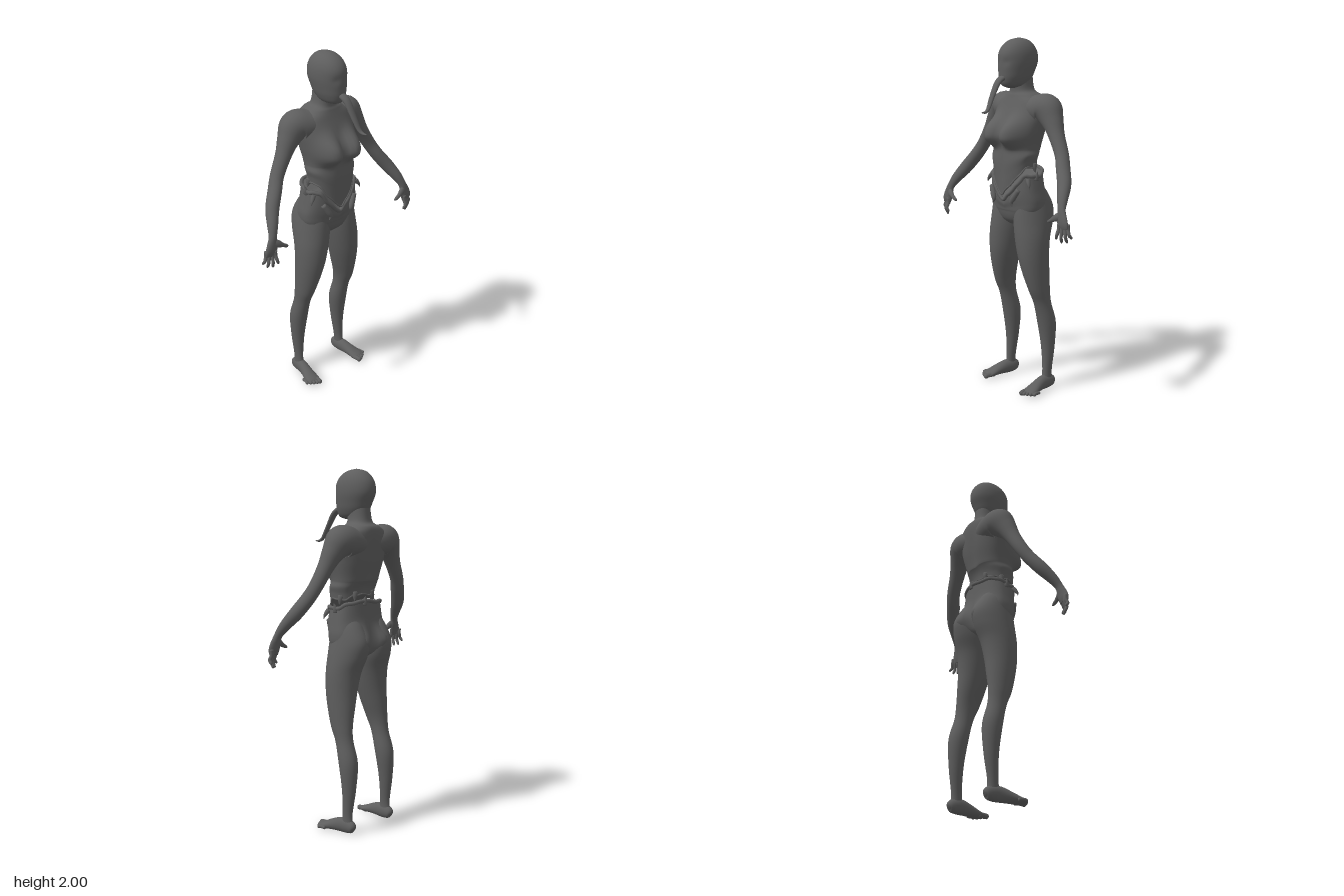
import * as THREE from 'three';

const material = new THREE.MeshStandardMaterial({ color: 0x5e5e5e, side: THREE.DoubleSide });
const SIDES = 48;

// Smoothly interpolate the columns of a short table of cross-sections
function refine(rows, steps) {
  const out = [];
  const last = rows.length - 1;
  for (let i = 0; i <= last * steps; i++) {
    const k = Math.min(Math.floor(i / steps), last - 1), t = i / steps - k;
    const [a, b, c, d] = [Math.max(k - 1, 0), k, k + 1, Math.min(k + 2, last)].map(n => rows[n]);
    out.push(b.map((_, n) => b[n] + 0.5 * t * (c[n] - a[n]
      + t * (2 * a[n] - 5 * b[n] + 4 * c[n] - d[n] + t * (3 * (b[n] - c[n]) + d[n] - a[n])))));
  }
  return out;
}

// Level rings from rows [y, x0, x1, z0, z1], lowest first; power squares the oval
function levelRings(rows, steps, power = 2, warp = null) {
  const bend = v => Math.sign(v) * Math.abs(v) ** (2 / power);
  return refine(rows, steps).map(([y, x0, x1, z0, z1]) => Array.from({ length: SIDES }, (_, j) => {
    const a = j / SIDES * Math.PI * 2;
    const p = new THREE.Vector3((x0 + x1) / 2 + bend(Math.sin(a)) * (x1 - x0) / 2, y,
      (z0 + z1) / 2 + bend(Math.cos(a)) * (z1 - z0) / 2);
    if (warp) warp(p, a);
    return p;
  }));
}

// Rings across a path of rows [x, y, z, radius along ref, radius across ref]
function pathRings(rows, steps, ref, sides = 20) {
  const fine = refine(rows, steps), pts = fine.map(r => new THREE.Vector3(r[0], r[1], r[2]));
  return fine.map((r, i) => {
    const t = pts[Math.min(i + 1, pts.length - 1)].clone().sub(pts[Math.max(i - 1, 0)]).normalize();
    const u = ref.clone().addScaledVector(t, -ref.dot(t)).normalize();
    const v = t.clone().cross(u);
    return Array.from({ length: sides }, (_, j) => {
      const a = j / sides * Math.PI * 2;
      return pts[i].clone().addScaledVector(u, r[3] * Math.cos(a)).addScaledVector(v, r[4] * Math.sin(a));
    });
  });
}

// Skin a stack of rings and close both ends
function skin(name, rings) {
  const n = rings[0].length, m = rings.length, index = [];
  const middle = ring => ring.reduce((s, p) => s.add(p), new THREE.Vector3()).divideScalar(n);
  const points = [...rings.flat(), middle(rings[0]), middle(rings[m - 1])];
  for (let j = 0; j < n; j++) {
    const k = (j + 1) % n;
    for (let i = 0; i < m - 1; i++) {
      const a = i * n + j, b = i * n + k;
      index.push(a, b, b + n, a, b + n, a + n);
    }
    index.push(m * n, k, j, m * n + 1, (m - 1) * n + j, (m - 1) * n + k);
  }
  const geometry = new THREE.BufferGeometry().setFromPoints(points);
  geometry.setIndex(index);
  geometry.computeVertexNormals();
  const mesh = new THREE.Mesh(geometry, material);
  mesh.name = name;
  return mesh;
}

const mirror = rings => rings.map(ring => ring.map(p => new THREE.Vector3(-p.x, p.y, p.z)).reverse());
const bump = (d, w) => Math.exp(-d * d / (w * w));

// Ragged waist edge: dips to a V at the front, nearly level at the back
const tear = (a, front, side, back) => {
  const s = Math.abs(Math.sin(a));
  const base = Math.cos(a) > 0 ? front + (side - front) * s : back + (side - back) * s;
  return base + 0.006 * Math.sin(5 * a + 1) + 0.003 * Math.sin(11 * a);
};

export function createModel() {
  const model = new THREE.Group();
  model.name = 'figure';
  const X = new THREE.Vector3(1, 0, 0), Y = new THREE.Vector3(0, 1, 0), Z = new THREE.Vector3(0, 0, 1);
  const add = (name, rings) => model.add(skin(name, rings));
  const pair = (name, rings) => {
    add('left' + name, rings);
    add('right' + name, mirror(rings));
  };

  // Head with a nearly blank face
  add('head', levelRings([
    [1.73, -0.015, 0.015, -0.05, 0.015], [1.745, -0.05, 0.05, -0.1, 0.05], [1.78, -0.069, 0.069, -0.135, 0.064],
    [1.82, -0.079, 0.079, -0.155, 0.067], [1.87, -0.087, 0.087, -0.175, 0.068], [1.92, -0.084, 0.084, -0.172, 0.063],
    [1.96, -0.069, 0.069, -0.15, 0.038], [1.988, -0.042, 0.042, -0.115, -0.004], [2.0, -0.003, 0.003, -0.063, -0.057],
  ], 6, 2.1, p => {
    if (p.z > 0) p.z -= 0.005 * bump(Math.abs(p.x) - 0.034, 0.02) * bump(p.y - 1.87, 0.02);
  }));

  // Long tongue
  add('tongue', pathRings([
    [0, 1.785, 0.03, 0.02, 0.014], [0.003, 1.782, 0.065, 0.023, 0.015], [0.007, 1.755, 0.1, 0.022, 0.014],
    [0.012, 1.685, 0.14, 0.018, 0.011], [0.02, 1.625, 0.172, 0.013, 0.009], [0.025, 1.608, 0.195, 0.009, 0.007],
    [0.028, 1.608, 0.22, 0.003, 0.003],
  ], 6, X));

  // Chest, back and neck; everything below the ribs stretches to the torn edge
  const torso = levelRings([
    [1.1, -0.135, 0.135, -0.125, 0.062], [1.2, -0.14, 0.14, -0.13, 0.065], [1.3, -0.148, 0.148, -0.14, 0.067],
    [1.4, -0.143, 0.143, -0.157, 0.06], [1.5, -0.162, 0.162, -0.18, 0.05], [1.58, -0.175, 0.175, -0.19, 0.03],
    [1.65, -0.165, 0.165, -0.192, 0.004], [1.69, -0.11, 0.11, -0.183, -0.01], [1.72, -0.064, 0.064, -0.152, -0.018],
    [1.8, -0.055, 0.055, -0.14, -0.01],
  ], 8, 2.3, (p, a) => {
    if (p.y < 1.4) p.y = 1.4 - (1.4 - p.y) * (1.4 - tear(a, 1.14, 1.3, 1.33)) / 0.3;
    const front = Math.max(0, Math.cos(a)), rear = Math.max(0, -Math.cos(a));
    // Rounded breasts, steeper underneath than above
    const dy = p.y - 1.472;
    const reach = ((Math.abs(p.x) - 0.078) / 0.068) ** 2 + (dy / (dy < 0 ? 0.056 : 0.092)) ** 2;
    p.z += 0.08 * front ** 0.3 * Math.exp(-(reach ** 1.45));
    p.z -= 0.008 * front * bump(p.x, 0.02) * bump(p.y - 1.3, 0.1);
    p.z += 0.016 * rear * bump(p.x, 0.03) * bump(p.y - 1.5, 0.14);
  });
  add('torso', torso);

  // Hips and buttocks, up to the torn edge
  const hips = levelRings([
    [0.97, -0.06, 0.06, -0.12, -0.01], [1.0, -0.12, 0.12, -0.155, 0.02], [1.05, -0.172, 0.172, -0.166, 0.036],
    [1.12, -0.183, 0.183, -0.167, 0.042], [1.2, -0.174, 0.174, -0.157, 0.05], [1.3, -0.16, 0.16, -0.15, 0.05],
  ], 8, 2.6, (p, a) => {
    const rear = Math.sqrt(Math.max(0, -Math.cos(a)));
    p.z -= 0.056 * rear * bump(Math.abs(p.x) - 0.083, 0.065) * bump(p.y - 1.065, 0.075);
    p.z += 0.02 * rear * bump(p.x, 0.022) * bump(p.y - 1.05, 0.09);
    if (p.y > 1.05) p.y = 1.05 + (p.y - 1.05) * (tear(a + 0.4 * Math.sin(a), 1.11, 1.255, 1.295) - 1.05) / 0.25;
  });
  add('hips', hips);

  // Rolled flesh along both torn edges, with a few ragged shards
  const edges = [['torso', torso[0], -1, 0.005, [14, 20, 27, 34]], ['hips', hips[hips.length - 1], 1, 0.011, [12, 23, 36]]];
  for (const [name, ring, dir, radius, spots] of edges) {
    const lip = new THREE.Mesh(new THREE.TubeGeometry(new THREE.CatmullRomCurve3(ring, true), 120, radius, 8, true), material);
    lip.name = name + 'TornEdge';
    model.add(lip);
    for (const k of spots) {
      const p = ring[k], out = new THREE.Vector3(p.x, 0, p.z + 0.05).normalize();
      const row = (o, h, r) => [p.x + out.x * o, p.y + dir * h, p.z + out.z * o, r, r];
      add(name + 'Shard', pathRings([row(-0.004, -0.02, 0.016), row(0.002, 0, 0.013),
        row(0.006, 0.016, 0.007), row(0.012, 0.028, 0.001)], 3, X, 8));
    }
  }
  // Curled flaps at the front of the hips and a small hook on each side
  pair('HipFlap', pathRings([[0.115, 1.18, 0.04, 0.014, 0.014], [0.088, 1.135, 0.052, 0.016, 0.016],
    [0.076, 1.108, 0.058, 0.011, 0.011], [0.086, 1.088, 0.058, 0.002, 0.002]], 4, Z, 10));
  pair('HipHook', pathRings([[0.155, 1.24, 0.005, 0.014, 0.014], [0.168, 1.222, 0.012, 0.012, 0.011],
    [0.177, 1.207, 0.016, 0.007, 0.006], [0.18, 1.192, 0.018, 0.001, 0.001]], 4, Z, 10));

  // Arm and palm
  pair('Arm', pathRings([
    [0, 1.595, -0.092, 0.08, 0.06], [0.06, 1.6, -0.095, 0.093, 0.08], [0.125, 1.612, -0.103, 0.094, 0.084],
    [0.185, 1.61, -0.108, 0.083, 0.087], [0.235, 1.555, -0.1, 0.06, 0.061], [0.278, 1.485, -0.09, 0.045, 0.044],
    [0.335, 1.39, -0.076, 0.039, 0.037], [0.375, 1.32, -0.05, 0.04, 0.036], [0.425, 1.245, -0.012, 0.037, 0.037],
    [0.462, 1.18, 0.033, 0.028, 0.03], [0.484, 1.13, 0.06, 0.019, 0.024], [0.495, 1.09, 0.068, 0.017, 0.033],
    [0.506, 1.055, 0.071, 0.015, 0.036], [0.511, 1.03, 0.071, 0.009, 0.031],
  ], 6, Z, 28));

  // Fingers as [knuckle x, z, tip x, y, z], then the thumb
  const fingers = [[0.535, 0.06, 0.548, 0.982, 0.05], [0.519, 0.067, 0.526, 0.96, 0.06],
    [0.502, 0.074, 0.501, 0.958, 0.074], [0.486, 0.08, 0.476, 0.975, 0.088]];
  for (const [kx, kz, tx, ty, tz] of fingers) {
    pair('Finger', pathRings([[kx, 1.06, kz, 0.01, 0.01], [kx, 1.03, kz, 0.01, 0.01],
      [(kx + tx) / 2 + 0.004, (1.03 + ty) / 2, (kz + tz) / 2 + 0.008, 0.009, 0.009],
      [tx, ty + 0.008, tz, 0.007, 0.007], [tx, ty, tz, 0.002, 0.002]], 4, Z, 10));
  }
  pair('Thumb', pathRings([[0.492, 1.1, 0.066, 0.015, 0.024], [0.465, 1.088, 0.076, 0.014, 0.021],
    [0.437, 1.073, 0.081, 0.011, 0.012], [0.412, 1.06, 0.082, 0.009, 0.009], [0.4, 1.055, 0.08, 0.002, 0.002]], 4, Z, 12));

  // Leg from ankle to hip
  pair('Leg', levelRings([
    [0.03, 0.137, 0.19, -0.186, -0.09], [0.1, 0.14, 0.186, -0.171, -0.11], [0.25, 0.122, 0.197, -0.189, -0.108],
    [0.4, 0.105, 0.207, -0.195, -0.085], [0.52, 0.109, 0.198, -0.163, -0.055], [0.6, 0.1, 0.201, -0.155, -0.02],
    [0.7, 0.071, 0.205, -0.155, 0.01], [0.8, 0.043, 0.207, -0.157, 0.03], [0.9, 0.02, 0.205, -0.171, 0.037],
    [0.99, 0.003, 0.196, -0.204, 0.036], [1.07, 0.004, 0.184, -0.214, 0.03], [1.15, 0.018, 0.168, -0.175, 0.015],
    [1.21, 0.04, 0.14, -0.13, -0.01],
  ], 6));

  // Foot turned slightly outward, big toe on the inside
  pair('Foot', pathRings([
    [0.163, 0.032, -0.19, 0.01, 0.01], [0.163, 0.036, -0.18, 0.03, 0.024], [0.163, 0.042, -0.145, 0.041, 0.03],
    [0.167, 0.042, -0.1, 0.041, 0.031], [0.175, 0.034, -0.05, 0.032, 0.035], [0.182, 0.025, -0.01, 0.023, 0.041],
    [0.187, 0.018, 0.025, 0.015, 0.042], [0.189, 0.015, 0.035, 0.008, 0.036],
  ], 5, Y));
  for (let i = 0; i < 5; i++) {
    const x = 0.158 + i * 0.0165, z = 0.018 - i * i * 0.0015, r = i ? 0.0095 : 0.014, len = 0.048 - i * 0.005;
    pair('Toe', pathRings([[x, 0.018, z - 0.02, r, r], [x + 0.004, 0.02, z + len * 0.4, r, r],
      [x + 0.007, 0.016, z + len * 0.85, r, r], [x + 0.008, 0.014, z + len, r * 0.3, r * 0.3]], 4, Y, 10));
  }
  return model;
}
